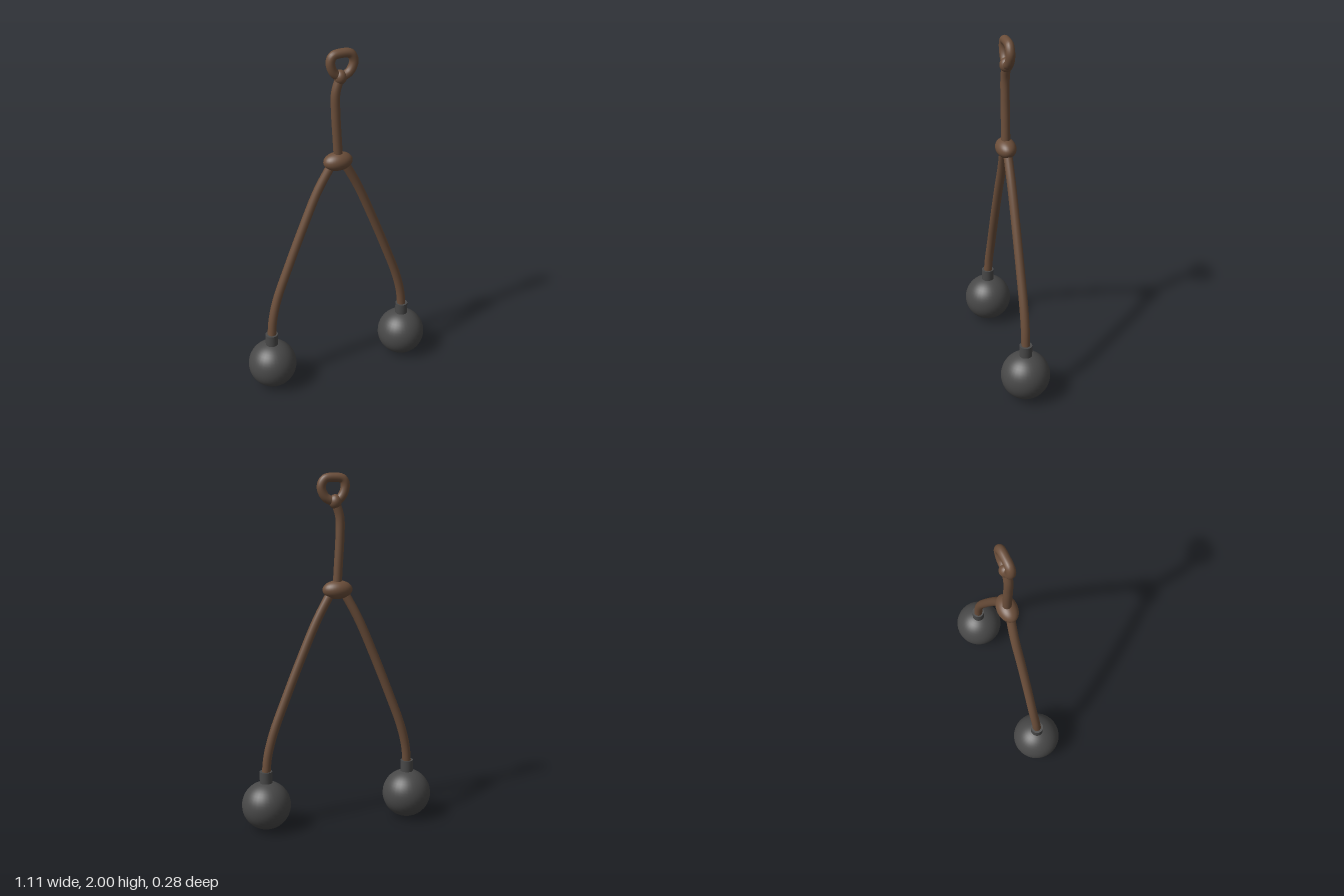
import * as THREE from 'three';

const ROPE_RADIUS = 0.025;

export function createModel() {
  const group = new THREE.Group();
  const rope = new THREE.MeshStandardMaterial({ color: 0x6b4e3a });
  const iron = new THREE.MeshStandardMaterial({ color: 0x484848 });

  const add = (name, geometry, material, x = 0, y = 0, z = 0) => {
    const mesh = new THREE.Mesh(geometry, material);
    mesh.name = name;
    mesh.position.set(x, y, z);
    group.add(mesh);
    return mesh;
  };

  // A length of cord through a few points
  const cord = (name, points, closed = false, segments = 48) => {
    const curve = new THREE.CatmullRomCurve3(points.map((p) => new THREE.Vector3(...p)), closed);
    return add(name, new THREE.TubeGeometry(curve, segments, ROPE_RADIUS, 16, closed), rope);
  };

  // Two weights, each with a collar and a leg of cord running up to the knot
  for (const [side, s, bow] of [['left', 1, 0], ['right', -1, -0.012]]) {
    const x = s * 0.415;
    add(side + 'Weight', new THREE.SphereGeometry(0.139, 32, 24), iron, x, 0.142, 0);
    add(side + 'Collar', new THREE.CylinderGeometry(0.036, 0.036, 0.08, 24), iron, x, 0.302, 0);
    cord(side + 'Leg', [
      [s * 0.03, 1.36, 0],
      [s * 0.115, 1.2, bow],
      [s * 0.205, 0.99, bow],
      [s * 0.3, 0.75, bow],
      [s * 0.37, 0.56, bow],
      [s * 0.403, 0.43, bow / 2],
      [x, 0.32, 0],
    ]);
  }

  // Flattened knot joining the legs
  add('mainKnot', new THREE.SphereGeometry(1, 32, 20), rope, 0, 1.363, 0).scale.set(0.084, 0.052, 0.056);

  // Single cord, small knot and hand loop
  cord('upperCord', [
    [0.003, 1.36, 0], [-0.005, 1.5, 0], [-0.013, 1.64, 0], [-0.013, 1.76, 0], [0.01, 1.84, 0],
  ]);
  add('loopKnot', new THREE.SphereGeometry(1, 24, 16), rope, 0.012, 1.845, 0).scale.set(0.035, 0.04, 0.037);
  cord('handLoop', [
    [0.012, 1.848, 0], [0.065, 1.868, 0], [0.09, 1.925, 0], [0.07, 1.967, 0],
    [0.02, 1.975, 0], [-0.03, 1.965, 0], [-0.043, 1.93, 0], [-0.025, 1.875, 0],
  ], true, 64);

  return group;
}
